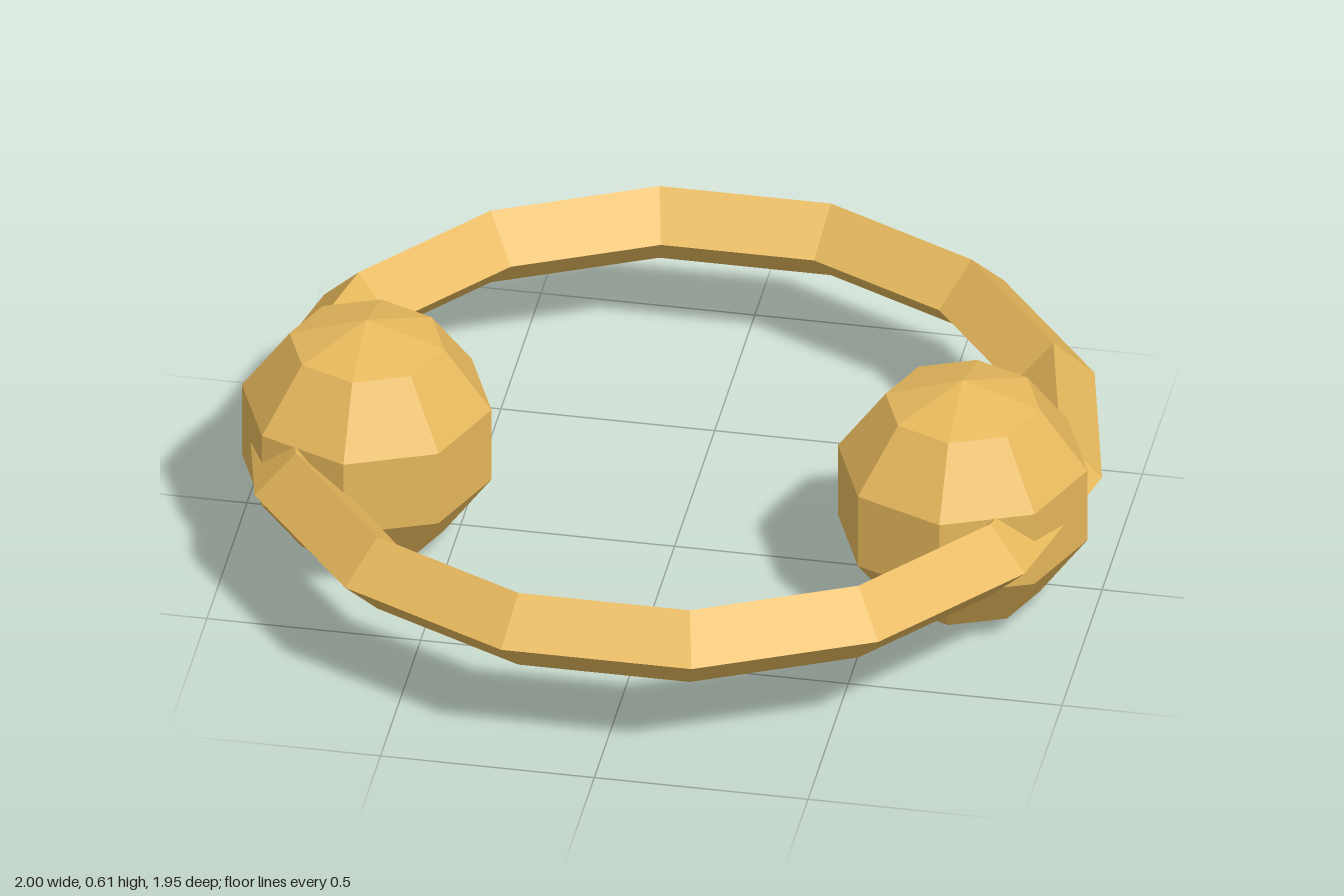
import * as THREE from 'three';

export function createModel() {
  const group = new THREE.Group();
  const gold = new THREE.MeshStandardMaterial({ color: 0xe6b85c, flatShading: true });
  const centreY = 0.307;

  // Flat-lying ring with a diamond cross-section
  const ring = new THREE.Mesh(new THREE.TorusGeometry(0.902, 0.098, 4, 14).rotateX(Math.PI / 2), gold);
  ring.name = 'ring';
  ring.position.y = centreY;
  group.add(ring);

  // Faceted beads threaded on both sides
  const beadGeometry = new THREE.SphereGeometry(0.307, 8, 5);
  for (const [name, side] of [['leftBead', 1], ['rightBead', -1]]) {
    const bead = new THREE.Mesh(beadGeometry, gold);
    bead.name = name;
    bead.position.set(side * 0.697, centreY, 0.122);
    group.add(bead);
  }

  return group;
}
